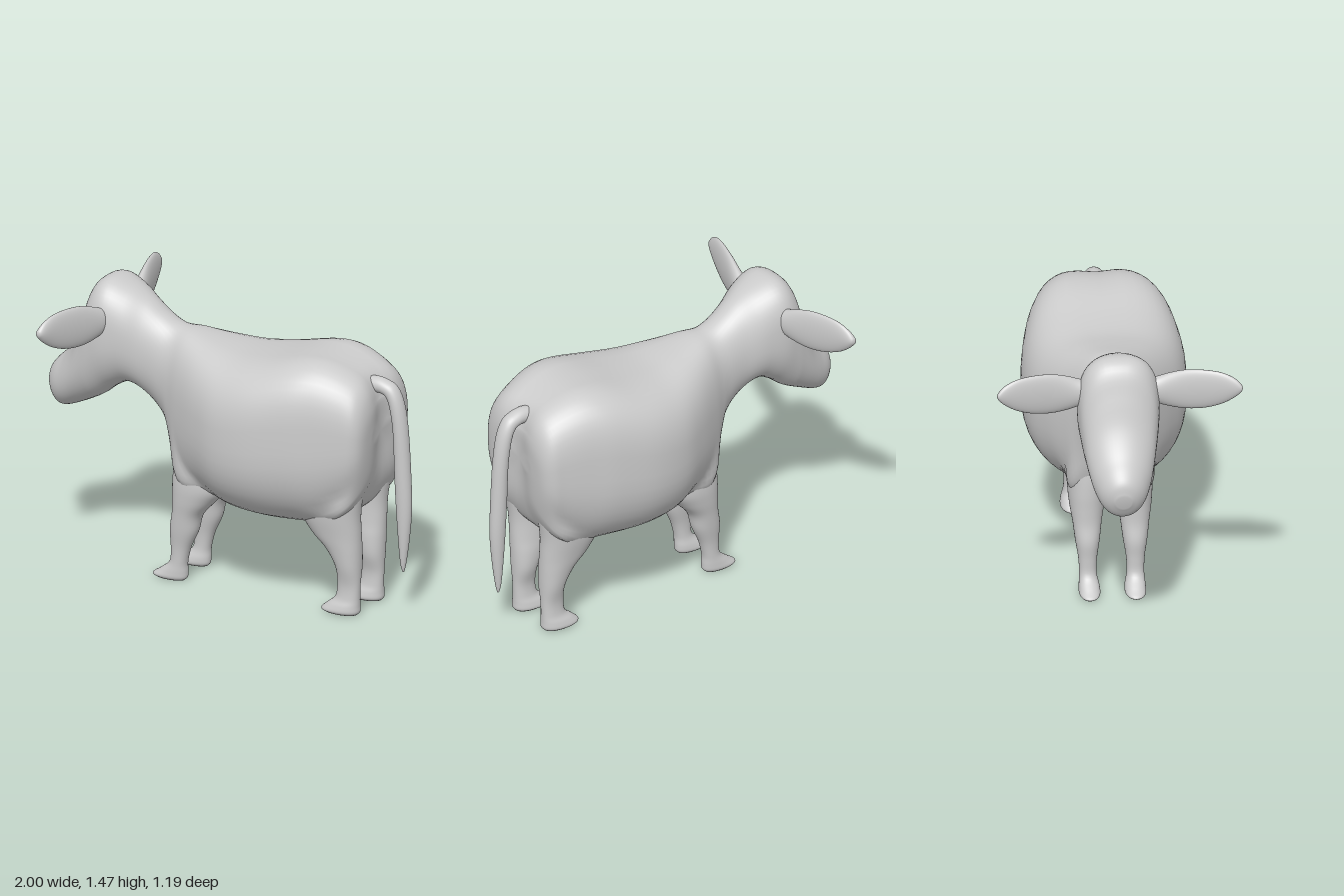
import * as THREE from 'three';

const V = (x, y, z) => new THREE.Vector3(x, y, z);
const SIDES = 48;

// Skin a smooth surface over rings. Each ring has two opposite points a and b,
// a half-width vector s across them (x and z) and a superellipse power n for
// the half toward a; the half toward b stays rounder.
function loft(name, rings, stepsPerRing = 5, deform) {
  const curve = (pick) => new THREE.CatmullRomCurve3(rings.map(pick), false, 'catmullrom', 0.5);
  const ca = curve((r) => r.a);
  const cb = curve((r) => r.b);
  const cs = curve((r) => V(r.s.x, r.n ?? 2, r.s.z));
  const rows = (rings.length - 1) * stepsPerRing;
  const pos = [];
  const index = [];
  const power = (v, n) => Math.sign(v) * Math.pow(Math.abs(v), 2 / n);
  for (let i = 0; i <= rows; i++) {
    const a = ca.getPoint(i / rows);
    const b = cb.getPoint(i / rows);
    const s = cs.getPoint(i / rows);
    const top = s.y;
    s.y = 0;
    const mid = a.clone().add(b).multiplyScalar(0.5);
    const half = a.clone().sub(mid);
    for (let j = 0; j < SIDES; j++) {
      const t = (j / SIDES) * Math.PI * 2;
      const n = Math.cos(t) > 0 ? top : Math.min(top, 2.3);
      const p = mid.clone().addScaledVector(half, power(Math.cos(t), n)).addScaledVector(s, power(Math.sin(t), n));
      if (deform) deform(p);
      pos.push(p.x, p.y, p.z);
    }
  }
  for (let i = 0; i < rows; i++) {
    for (let j = 0; j < SIDES; j++) {
      const k = (j + 1) % SIDES;
      const p = i * SIDES + j, q = i * SIDES + k;
      index.push(p, q, p + SIDES, q, q + SIDES, p + SIDES);
    }
  }
  // end caps
  for (const row of [0, rows]) {
    const c = pos.length / 3;
    const r = rings[row === 0 ? 0 : rings.length - 1];
    const m = r.a.clone().add(r.b).multiplyScalar(0.5);
    if (deform) deform(m);
    pos.push(m.x, m.y, m.z);
    for (let j = 0; j < SIDES; j++) {
      const p = row * SIDES + j, q = row * SIDES + ((j + 1) % SIDES);
      if (row === 0) index.push(c, q, p);
      else index.push(c, p, q);
    }
  }
  // turn the faces outward
  let volume = 0;
  const at = (i) => V(pos[i * 3], pos[i * 3 + 1], pos[i * 3 + 2]);
  for (let i = 0; i < index.length; i += 3) {
    volume += at(index[i]).dot(at(index[i + 1]).cross(at(index[i + 2])));
  }
  if (volume < 0) index.reverse();

  const geo = new THREE.BufferGeometry();
  geo.setAttribute('position', new THREE.Float32BufferAttribute(pos, 3));
  geo.setIndex(index);
  geo.computeVertexNormals();
  const mesh = new THREE.Mesh(geo, new THREE.MeshStandardMaterial({ color: 0xcccccc }));
  mesh.name = name;
  return mesh;
}

// Shoulder and thigh swellings: centre x, y, reach x, y, outer z
const SWELLINGS = [
  [-0.14, 0.6, 0.13, 0.17, 0.215],
  [0.7, 0.6, 0.14, 0.15, 0.245],
];

// Trunk, neck and head: top x, top y, bottom x, bottom y, half width, power
function makeBody() {
  const rings = [
    [0.862, 0.99, 0.857, 0.88, 0.12, 2.6],
    [0.86, 1.1, 0.84, 0.72, 0.22, 2.8],
    [0.83, 1.19, 0.80, 0.61, 0.27, 3],
    [0.76, 1.25, 0.74, 0.53, 0.295, 3.2],
    [0.62, 1.30, 0.62, 0.45, 0.335, 3.4],
    [0.48, 1.30, 0.48, 0.43, 0.375, 3.3],
    [0.28, 1.255, 0.28, 0.425, 0.403, 3.1],
    [0.10, 1.235, 0.10, 0.44, 0.38, 2.8],
    [-0.05, 1.25, -0.05, 0.48, 0.31, 2.6],
    [-0.19, 1.275, -0.19, 0.50, 0.225, 2.4],
    [-0.28, 1.283, -0.265, 0.64, 0.17, 2.2],
    [-0.36, 1.325, -0.32, 0.77, 0.145, 2.1],
    [-0.44, 1.385, -0.42, 0.88, 0.145, 2.1],
    [-0.53, 1.44, -0.53, 0.945, 0.18, 2.3],
    [-0.64, 1.475, -0.62, 0.91, 0.2, 2.7],
    [-0.72, 1.435, -0.69, 0.855, 0.192, 2.5],
    [-0.77, 1.31, -0.75, 0.82, 0.178, 2.2],
    [-0.82, 1.17, -0.82, 0.785, 0.16, 2],
    [-0.885, 1.065, -0.88, 0.76, 0.138, 2],
    [-0.95, 1.0, -0.925, 0.752, 0.112, 2],
    [-0.988, 0.95, -0.955, 0.77, 0.08, 2],
    [-1.0, 0.89, -0.985, 0.82, 0.038, 2],
  ].map(([tx, ty, bx, by, w, n]) => ({ a: V(tx, ty, 0), b: V(bx, by, 0), s: V(0, 0, w), n }));
  return loft('body', rings, 5, (p) => {
    // swell out to meet the tops of the legs
    for (const [x, y, rx, ry, outer] of SWELLINGS) {
      const near = Math.exp(-(((p.x - x) / rx) ** 2) - ((p.y - y) / ry) ** 2);
      const side = THREE.MathUtils.smoothstep(Math.abs(p.z), 0.02, 0.12);
      p.z += Math.sign(p.z) * Math.max(0, outer - Math.abs(p.z)) * near * side;
    }
    // shallow groove along the spine and down the rump
    const groove = Math.exp(-((p.z / 0.09) ** 2));
    const back = THREE.MathUtils.smoothstep(p.x, 0.3, 0.6);
    const rump = THREE.MathUtils.smoothstep(p.x, 0.72, 0.85);
    if (p.y > 1.1) p.y -= 0.018 * back * groove;
    p.x -= 0.03 * rump * groove;
  });
}

// Leg rings: height, front x, back x, inner z, outer z
function makeLeg(name, rows, side) {
  return loft(name, rows.map(([y, x0, x1, z0, z1]) => ({
    a: V(x0, y, side * (z0 + z1) / 2),
    b: V(x1, y, side * (z0 + z1) / 2),
    s: V(0, 0, (z1 - z0) / 2),
    n: 2.2,
  })));
}

const FRONT_LEG = [
  [0.005, -0.355, -0.2, 0.075, 0.15],
  [0.02, -0.372, -0.187, 0.06, 0.163],
  [0.05, -0.33, -0.185, 0.062, 0.162],
  [0.1, -0.275, -0.185, 0.073, 0.158],
  [0.18, -0.268, -0.165, 0.07, 0.162],
  [0.27, -0.272, -0.125, 0.056, 0.176],
  [0.36, -0.258, -0.1, 0.045, 0.187],
  [0.44, -0.256, -0.03, 0.03, 0.2],
  [0.53, -0.257, 0.04, 0.015, 0.206],
  [0.66, -0.252, 0.04, 0.0, 0.19],
  [0.85, -0.23, 0.0, 0.0, 0.14],
];
const HIND_LEG = [
  [0.005, 0.59, 0.765, 0.07, 0.165],
  [0.02, 0.573, 0.776, 0.055, 0.18],
  [0.05, 0.605, 0.776, 0.06, 0.175],
  [0.09, 0.65, 0.776, 0.072, 0.162],
  [0.16, 0.66, 0.778, 0.073, 0.16],
  [0.25, 0.652, 0.782, 0.05, 0.178],
  [0.34, 0.60, 0.784, 0.042, 0.193],
  [0.42, 0.52, 0.784, 0.04, 0.208],
  [0.53, 0.46, 0.785, 0.035, 0.228],
  [0.66, 0.47, 0.803, 0.03, 0.235],
  [0.82, 0.52, 0.825, 0.04, 0.2],
  [0.95, 0.58, 0.82, 0.06, 0.17],
];

// Ear: distance out, centre x, top y, bottom y, half thickness
function makeEar(name, side) {
  const rings = [
    [0.1, -0.635, 1.34, 1.24, 0.045],
    [0.18, -0.638, 1.355, 1.22, 0.043],
    [0.25, -0.65, 1.382, 1.203, 0.036],
    [0.33, -0.67, 1.405, 1.197, 0.031],
    [0.42, -0.695, 1.412, 1.21, 0.028],
    [0.5, -0.717, 1.405, 1.24, 0.025],
    [0.56, -0.733, 1.38, 1.28, 0.022],
    [0.59, -0.742, 1.352, 1.312, 0.016],
    [0.597, -0.745, 1.337, 1.327, 0.005],
  ].map(([z, x, t, b, d]) => ({ a: V(x, t, side * z), b: V(x, b, side * z), s: V(d, 0, 0) }));
  return loft(name, rings, 4);
}

// Tail: outer x, outer y, inner x, inner y, half width
function makeTail() {
  const rings = [
    [0.73, 1.2, 0.72, 1.12, 0.04],
    [0.81, 1.212, 0.8, 1.13, 0.043],
    [0.87, 1.2, 0.845, 1.13, 0.044],
    [0.92, 1.17, 0.872, 1.11, 0.044],
    [0.957, 1.09, 0.89, 1.05, 0.044],
    [0.98, 0.95, 0.905, 0.93, 0.042],
    [0.995, 0.72, 0.912, 0.72, 0.04],
    [1.0, 0.55, 0.92, 0.55, 0.036],
    [0.988, 0.4, 0.93, 0.4, 0.028],
    [0.972, 0.28, 0.94, 0.28, 0.017],
    [0.963, 0.235, 0.949, 0.235, 0.008],
    [0.959, 0.225, 0.953, 0.225, 0.003],
  ].map(([ox, oy, ix, iy, w]) => ({ a: V(ox, oy, 0), b: V(ix, iy, 0), s: V(0, 0, w) }));
  return loft('tail', rings, 4);
}

export function createModel() {
  const model = new THREE.Group();
  model.name = 'cow';
  model.add(makeBody(), makeTail());
  for (const side of [1, -1]) {
    // the animal looks toward -x, so its own left is +z
    const label = side > 0 ? 'Left' : 'Right';
    model.add(
      makeLeg('frontLeg' + label, FRONT_LEG, side),
      makeLeg('hindLeg' + label, HIND_LEG, side),
      makeEar('ear' + label, side),
    );
  }
  return model;
}
